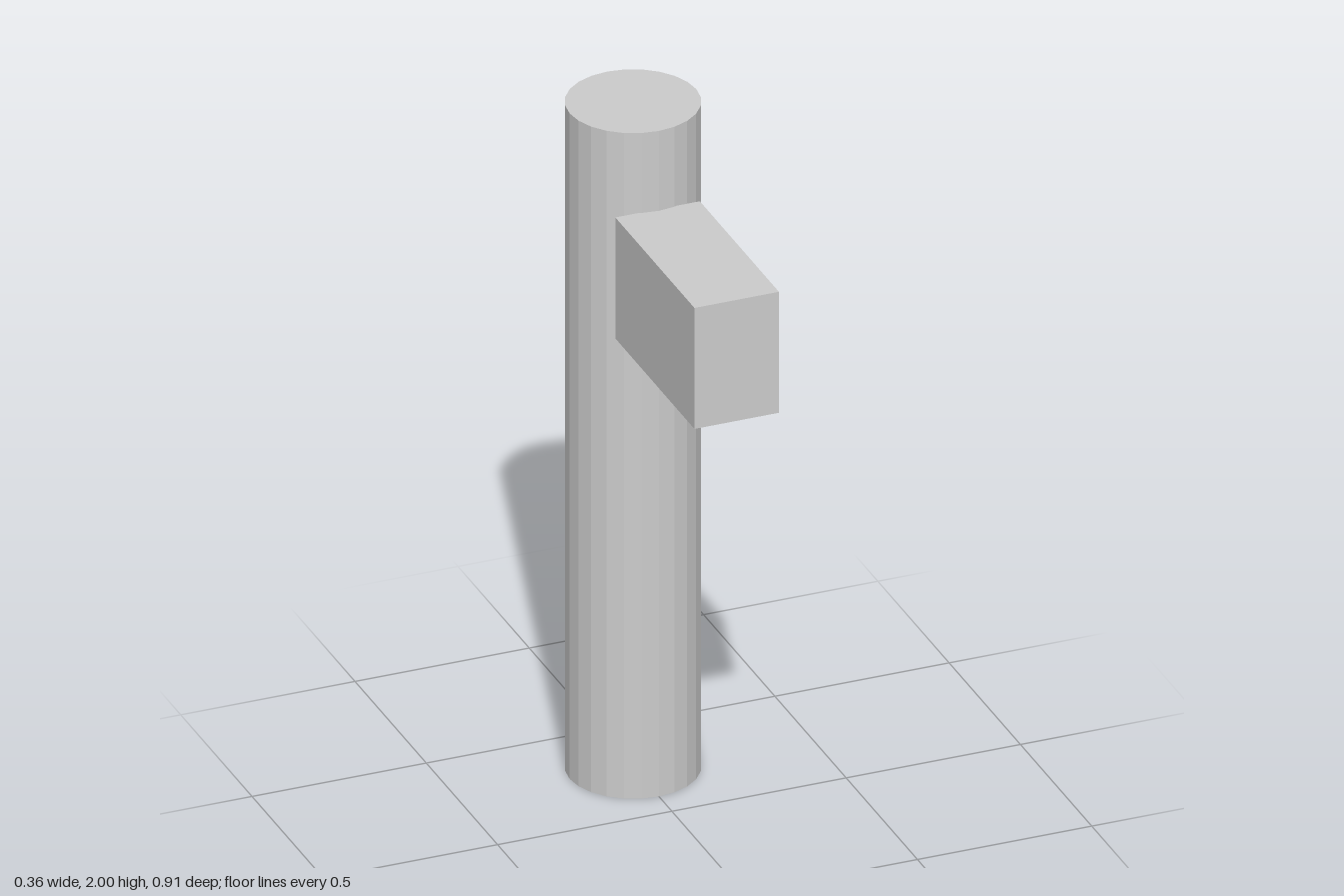
import * as THREE from 'three';

export function createModel() {
  const model = new THREE.Group();
  const grey = new THREE.MeshStandardMaterial({ color: 0xcccccc, flatShading: true });
  grey.name = 'light grey';

  const addPart = (name, geometry, x, y, z) => {
    const mesh = new THREE.Mesh(geometry, grey);
    mesh.name = name;
    mesh.position.set(x, y, z);
    model.add(mesh);
  };

  // Upright faceted post
  const radius = 0.1818;
  addPart('post', new THREE.CylinderGeometry(radius, radius, 2, 24), 0, 1, -0.2727);

  // Rectangular arm, its back end just touching into the post
  const armBack = -0.1, armFront = 0.4545;
  addPart('arm', new THREE.BoxGeometry(0.2424, 0.3636, armFront - armBack),
    0, 1.578, (armBack + armFront) / 2);

  return model;
}
